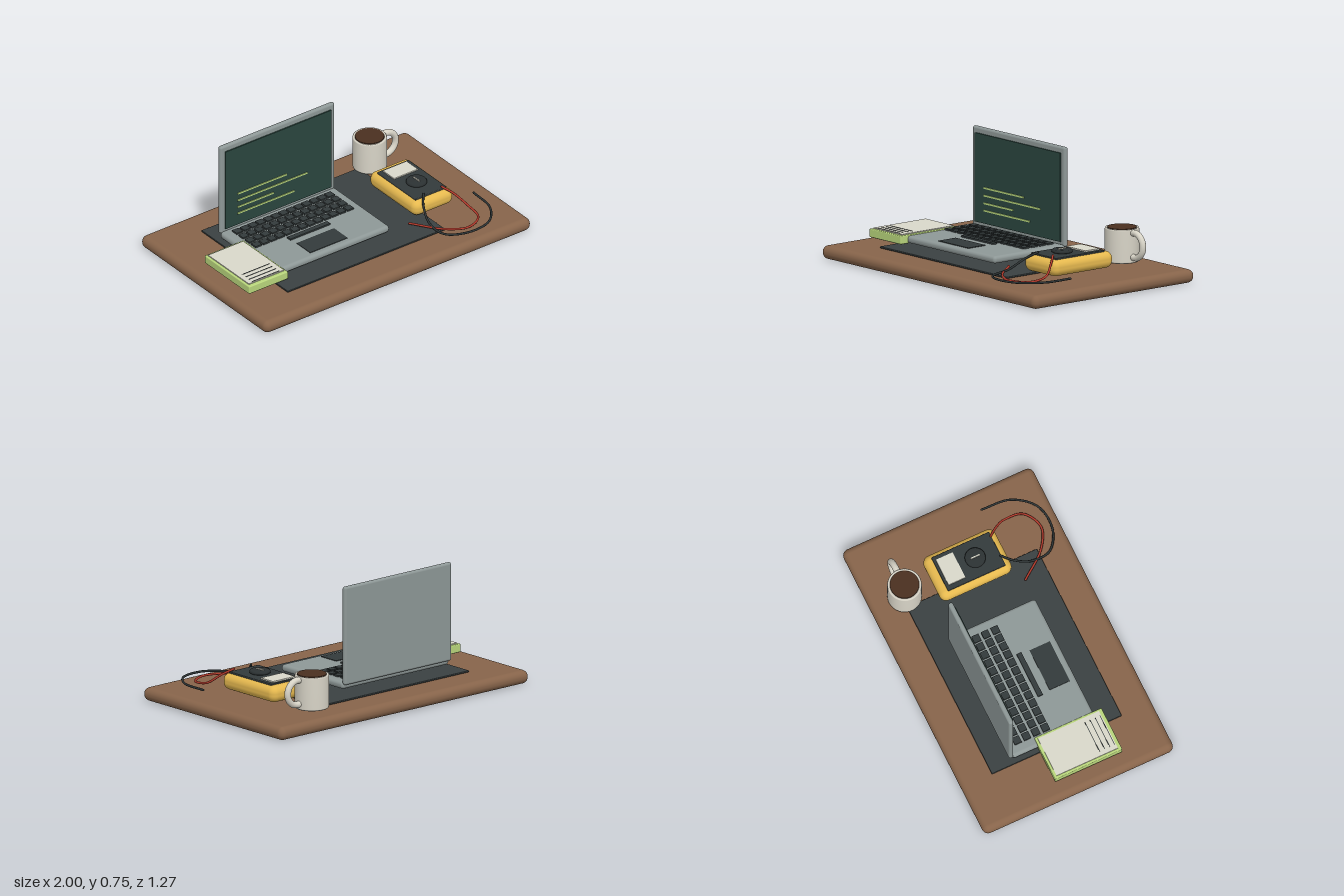
import * as THREE from 'three';
import { RoundedBoxGeometry } from 'three/addons/geometries/RoundedBoxGeometry.js';

const COLORS = {
  wood: 0x87644a, mat: 0x3a4142, metal: 0x8e9897, dark: 0x333a3b, screen: 0x2a463f,
  green: 0xb9d67c, paper: 0xd9d8ca, yellow: 0xe6b94f, red: 0xb23a2c, black: 0x2c3233,
  ceramic: 0xd8d4c7, coffee: 0x4a3020,
};
const materials = {};
for (const key in COLORS) materials[key] = new THREE.MeshStandardMaterial({ color: COLORS[key] });

function add(parent, name, geometry, material) {
  const mesh = new THREE.Mesh(geometry, materials[material]);
  mesh.name = name;
  parent.add(mesh);
  return mesh;
}

// Box given by its [min, max] range on each axis; a radius rounds the edges
function block(parent, name, material, [x0, x1], [y0, y1], [z0, z1], radius = 0) {
  const size = [x1 - x0, y1 - y0, z1 - z0];
  const geometry = radius ? new RoundedBoxGeometry(...size, 5, radius) : new THREE.BoxGeometry(...size);
  const mesh = add(parent, name, geometry, material);
  mesh.position.set((x0 + x1) / 2, (y0 + y1) / 2, (z0 + z1) / 2);
  return mesh;
}

function group(parent, name) {
  const g = new THREE.Group();
  g.name = name;
  parent.add(g);
  return g;
}

function buildLaptop(root) {
  const laptop = group(root, 'laptop');
  block(laptop, 'laptopBase', 'metal', [-0.66, 0.2], [0.108, 0.153], [-0.285, 0.275], 0.02);
  block(laptop, 'laptopLid', 'metal', [-0.66, 0.2], [0.137, 0.75], [-0.307, -0.276], 0.015);
  block(laptop, 'screen', 'screen', [-0.628, 0.168], [0.167, 0.712], [-0.278, -0.268]);

  // Bars of code on the screen: right end, height
  [[-0.17, 0.386], [-0.015, 0.339], [-0.268, 0.292], [-0.113, 0.247]].forEach(([right, y]) =>
    block(laptop, 'codeLine', 'green', [-0.54, right], [y - 0.005, y + 0.005], [-0.269, -0.263]));

  // Keyboard
  for (let row = 0; row < 4; row++) {
    for (let col = 0; col < 13; col++) {
      const x = -0.575 + col * 0.0575, z = -0.218 + row * 0.063;
      block(laptop, 'key', 'dark', [x - 0.0235, x + 0.0235], [0.15, 0.163], [z - 0.023, z + 0.023]);
    }
  }
  block(laptop, 'spaceBar', 'dark', [-0.38, -0.08], [0.15, 0.163], [0.018, 0.05]);
  block(laptop, 'touchpad', 'dark', [-0.37, -0.09], [0.15, 0.157], [0.1, 0.235]);
}

function buildNotebook(root) {
  const notebook = group(root, 'notebook');
  block(notebook, 'notebookBody', 'green', [-0.9, -0.607], [0.107, 0.159], [-0.117, 0.331], 0.006);
  block(notebook, 'notebookPage', 'paper', [-0.885, -0.622], [0.157, 0.165], [-0.1, 0.308]);
  for (const z of [0.2, 0.234, 0.268, 0.3]) {
    block(notebook, 'ruledLine', 'dark', [-0.857, -0.652], [0.164, 0.167], [z - 0.002, z + 0.002]);
  }
}

function buildMeter(root) {
  const meter = group(root, 'meter');
  block(meter, 'meterBody', 'yellow', [0.415, 0.715], [0.1, 0.203], [-0.237, 0.238], 0.045);
  block(meter, 'meterFace', 'dark', [0.447, 0.683], [0.195, 0.211], [-0.185, 0.2], 0.005);
  block(meter, 'meterDisplay', 'paper', [0.477, 0.655], [0.21, 0.219], [-0.167, -0.055]);

  // Rotary dial with a softened top edge
  const dial = add(meter, 'dial', new THREE.LatheGeometry([
    [0, 0], [0.058, 0], [0.063, 0.004], [0.063, 0.014], [0.057, 0.021], [0, 0.021],
  ].map(p => new THREE.Vector2(...p)), 40), 'black');
  dial.position.set(0.565, 0.211, 0.052);
  block(meter, 'dialPointer', 'paper', [0.561, 0.569], [0.23, 0.239], [0.022, 0.082]);

  // Test leads drooping from the face onto the desk
  const leads = {
    blackLead: ['black', [[0.51, 0.222, 0.195], [0.465, 0.185, 0.255], [0.432, 0.125, 0.36], [0.445, 0.11, 0.49],
      [0.565, 0.115, 0.567], [0.73, 0.117, 0.55], [0.84, 0.118, 0.42], [0.858, 0.12, 0.235]]],
    redLead: ['red', [[0.648, 0.222, 0.195], [0.695, 0.185, 0.25], [0.74, 0.125, 0.33], [0.73, 0.107, 0.45],
      [0.61, 0.108, 0.512], [0.48, 0.112, 0.45], [0.34, 0.12, 0.28]]],
  };
  for (const name in leads) {
    const [material, points] = leads[name];
    const vectors = points.map(p => new THREE.Vector3(...p));
    add(meter, name, new THREE.TubeGeometry(new THREE.CatmullRomCurve3(vectors), 80, 0.007, 10), material);
    // Rounded ends close the tube
    for (const end of [vectors[0], vectors[vectors.length - 1]]) {
      add(meter, name + 'End', new THREE.SphereGeometry(0.007, 10, 8), material).position.copy(end);
    }
  }
}

function buildMug(root) {
  const mug = group(root, 'mug');
  mug.position.set(0.566, 0.095, -0.418);
  add(mug, 'mugBody', new THREE.LatheGeometry([
    [0, 0], [0.097, 0], [0.102, 0.004], [0.104, 0.01], [0.104, 0.2],
    [0.102, 0.207], [0.097, 0.209], [0.09, 0.207], [0.087, 0.2], [0.087, 0.18],
  ].map(p => new THREE.Vector2(...p)), 48), 'ceramic');
  const coffee = add(mug, 'coffee', new THREE.CylinderGeometry(0.088, 0.088, 0.03, 48), 'coffee');
  coffee.position.y = 0.196;

  // Ring handle whose ends sink into the wall
  const arc = Math.PI * 1.3;
  const handle = add(mug, 'mugHandle', new THREE.TorusGeometry(0.076, 0.02, 14, 48, arc), 'ceramic');
  handle.position.set(0.118, 0.112, 0);
  handle.rotation.z = -arc / 2;
}

export function createModel() {
  const root = new THREE.Group();
  root.name = 'deskScene';
  block(root, 'deskBoard', 'wood', [-1, 1], [0, 0.083], [-0.633, 0.633], 0.04);
  block(root, 'deskMat', 'mat', [-0.685, 0.497], [0.087, 0.098], [-0.435, 0.43], 0.004);
  buildLaptop(root);
  buildNotebook(root);
  buildMeter(root);
  buildMug(root);
  return root;
}
